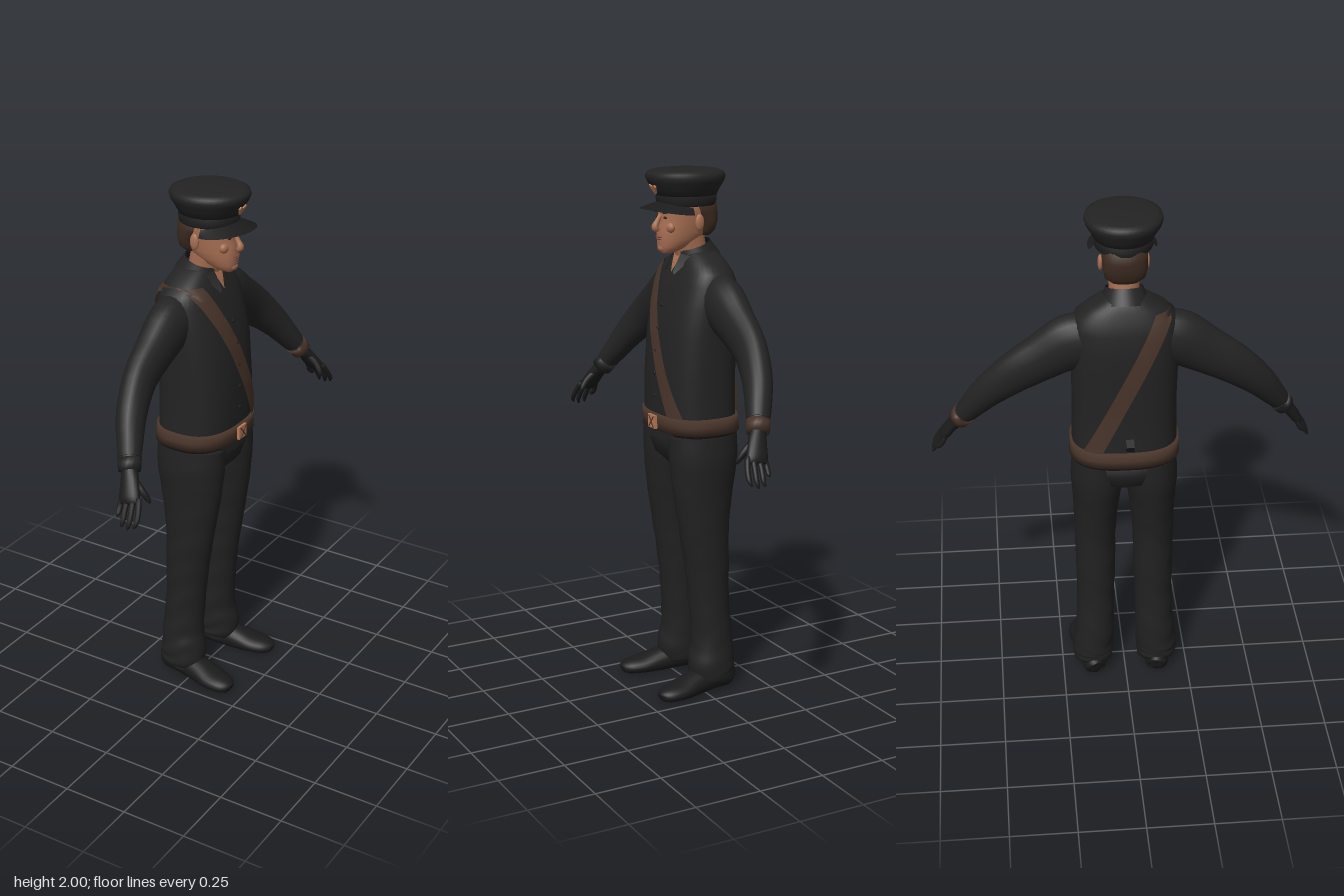
import * as THREE from 'three';

const V = (x, y, z) => new THREE.Vector3(x, y, z);
const mat = (name, color, side = THREE.FrontSide) => {
  const m = new THREE.MeshStandardMaterial({ color, side });
  m.name = name;
  return m;
};

// Skin a list of equal-length rings into a closed, smooth solid
function loft(rings) {
  const n = rings[0].length, pos = [], idx = [];
  rings.forEach(r => r.forEach(p => pos.push(p.x, p.y, p.z)));
  for (let i = 0; i < rings.length - 1; i++) for (let j = 0; j < n; j++) {
    const a = i * n + j, b = i * n + (j + 1) % n;
    idx.push(a, a + n, b, b, a + n, b + n);
  }
  [0, rings.length - 1].forEach((k, end) => {
    const c = rings[k].reduce((s, p) => s.add(p), V(0, 0, 0)).divideScalar(n), ci = pos.length / 3;
    pos.push(c.x, c.y, c.z);
    for (let j = 0; j < n; j++) {
      const a = k * n + j, b = k * n + (j + 1) % n;
      end ? idx.push(a, ci, b) : idx.push(a, b, ci);
    }
  });
  return finish(pos, idx);
}
function finish(pos, idx) {
  const g = new THREE.BufferGeometry();
  g.setAttribute('position', new THREE.Float32BufferAttribute(pos, 3));
  g.setIndex(idx);
  g.computeVertexNormals();
  return g;
}
// Open sheet from a function of u, v
function sheet(nu, nv, f) {
  const pos = [], idx = [];
  for (let i = 0; i <= nv; i++) for (let j = 0; j <= nu; j++) pos.push(...f(j / nu, i / nv));
  for (let i = 0; i < nv; i++) for (let j = 0; j < nu; j++) {
    const a = i * (nu + 1) + j, b = a + nu + 1;
    idx.push(a, a + 1, b, b, a + 1, b + 1);
  }
  return finish(pos, idx);
}
// Horizontal superellipse ring: row = [y, half width, back z, front z]
function ring([y, rx, zb, zf], n = 2, seg = 40) {
  const f = c => Math.sign(c) * Math.abs(c) ** (2 / n);
  return Array.from({ length: seg }, (_, j) => {
    const t = j / seg * Math.PI * 2;
    return V(rx * f(Math.cos(t)), y, (zb + zf) / 2 + (zf - zb) / 2 * f(Math.sin(t)));
  });
}
const stack = (rows, n, seg) => loft(rows.map(r => ring(r, n, seg)));

// Tube along keys [x, y, z, r1, r2]; ref is the axis that r2 leans to
function limb(keys, { steps = 24, seg = 20, ref = V(0, 0, 1), wrinkle = 0, floor = -1 } = {}) {
  const path = new THREE.CatmullRomCurve3(keys.map(k => V(k[0], k[1], k[2])), false, 'catmullrom');
  const size = new THREE.CatmullRomCurve3(keys.map(k => V(k[3], k[4], 0)), false, 'catmullrom');
  return loft(Array.from({ length: steps + 1 }, (_, i) => {
    const t = i / steps, c = path.getPoint(t), s = size.getPoint(t), T = path.getTangent(t);
    const s1 = T.clone().cross(ref).normalize(), s2 = s1.clone().cross(T);
    return Array.from({ length: seg }, (_, j) => {
      const a = j / seg * Math.PI * 2;
      const w = 1 + wrinkle * t * Math.sin(t * 62 + 2 * Math.sin(a * 2)) * (0.6 + 0.4 * Math.cos(a));
      const p = c.clone().addScaledVector(s1, Math.cos(a) * s.x * w).addScaledVector(s2, Math.sin(a) * s.y * w);
      p.y = Math.max(p.y, floor);
      return p;
    });
  }));
}

const TORSO = [[1.02, .2, -.178, .12], [1.1, .197, -.17, .123], [1.25, .194, -.17, .122], [1.4, .197, -.176, .11],
  [1.5, .198, -.178, .09], [1.58, .196, -.17, .063], [1.625, .182, -.155, .045], [1.66, .14, -.14, .03],
  [1.69, .09, -.125, .015], [1.705, .06, -.1, 0]];
const POW = 2.6;
function torsoRow(y, off = 0) {
  let i = 0;
  while (i < TORSO.length - 2 && TORSO[i + 1][0] < y) i++;
  const a = TORSO[i], b = TORSO[i + 1], t = (y - a[0]) / (b[0] - a[0]);
  const [, rx, zb, zf] = a.map((v, k) => THREE.MathUtils.lerp(v, b[k], t));
  return [y, rx + off, zb - off, zf + off];
}
// Thin patch lying on the torso, between xL(y) and xR(y)
function patch(y0, y1, xL, xR, side, off = .006) {
  return sheet(8, 24, (u, v) => {
    const y = y0 + (y1 - y0) * v, [, rx, zb, zf] = torsoRow(y, off);
    const x = THREE.MathUtils.clamp(THREE.MathUtils.lerp(xL(y), xR(y), u), -rx, rx);
    const k = Math.max(0, 1 - Math.abs(x / rx) ** POW) ** (1 / POW);
    return [x, y, (zb + zf) / 2 + side * (zf - zb) / 2 * k];
  });
}

export function createModel() {
  const root = new THREE.Group(), man = new THREE.Group();
  root.name = 'uniformedMan';
  man.name = 'figure';
  man.rotation.y = Math.PI / 2; // built facing +z, turned to face +x
  root.add(man);
  const D = THREE.DoubleSide;
  const cloth = mat('uniform cloth', 0x232323, D), trouser = mat('trouser cloth', 0x212122);
  const black = mat('black leather', 0x1b1b1c, D), brown = mat('brown leather', 0x49352a, D);
  const skin = mat('skin', 0xa66e52, D), hair = mat('hair', 0x3b2a20), copper = mat('copper', 0xb87a58);
  const lip = mat('lips', 0x84503f), eye = mat('eyes', 0x2a211d);
  const add = (name, geo, m, x = 0, y = 0, z = 0) => {
    const o = new THREE.Mesh(geo, m);
    o.name = name;
    o.position.set(x, y, z);
    man.add(o);
    return o;
  };
  const ball = (name, m, x, y, z, sx, sy, sz) => add(name, new THREE.SphereGeometry(1, 16, 12), m, x, y, z).scale.set(sx, sy, sz);

  // Vest, pelvis and hem points
  add('vest', stack(TORSO, POW), cloth);
  add('pelvis', stack([[.89, .05, -.1, .06], [.93, .15, -.155, .1], [.98, .19, -.165, .113], [1.04, .196, -.168, .117]], 2.4), trouser);
  for (const s of [-1, 1]) add('hemPoint', sheet(4, 4, (u, v) =>
    [s * (.005 + .13 * u), 1.03 - .04 * v * (1 - Math.abs(u - .2) * 1.2), .125 - .012 * u]), cloth);
  add('frontPlacket', patch(1.1, 1.62, () => -.012, () => .012, 1, .003), cloth);
  for (let i = 0; i < 5; i++) {
    const y = 1.16 + i * .085;
    ball('button', black, 0, y, torsoRow(y)[3] + .004, .007, .007, .004);
  }

  // Belt, buckle, shoulder strap
  add('belt', stack([1.03, 1.06, 1.092].map(y => torsoRow(y, .008)), POW), brown);
  add('buckle', new THREE.BoxGeometry(.052, .05, .014), copper, 0, 1.06, .133);
  for (const s of [-1, 1]) {
    add('buckleBar', new THREE.BoxGeometry(.004, .056, .004), brown, 0, 1.06, .1405).rotation.z = s * .7;
    const mid = y => -.125 + (1.62 - y) * .475;
    add(s > 0 ? 'strapFront' : 'strapBack', patch(1.06, 1.65, y => mid(y) - .035, y => mid(y) + .035, s, .007), brown);
  }
  add('backClip', new THREE.BoxGeometry(.03, .03, .035), black, -.01, 1.13, -.18).rotation.x = -.5;

  // Neck, open collar
  add('neck', limb([[0, 1.62, -.045, .055, .06], [0, 1.69, -.03, .055, .06], [0, 1.77, -.01, .057, .065]], { steps: 8 }), skin);
  add('openThroat', patch(1.62, 1.69, y => -(y - 1.618) * .45, y => (y - 1.618) * .45, 1, .008), skin);
  const collar = add('collar', new THREE.CylinderGeometry(.068, .092, .06, 32, 1, true, .35, Math.PI * 2 - .7), cloth, 0, 1.69, -.043);
  collar.rotation.x = .3;
  for (const s of [-1, 1]) add('collarFlap', sheet(3, 4, (u, v) => {
    const w = .05 * u * (1 - v * .85);
    return [s * (.03 + w - .012 * v + .012 * v * v), 1.69 - .065 * v - .01 * u, .03 + .033 * v - .03 * u * (1 - v)];
  }), cloth);

  // Head and face
  add('head', stack([[1.692, .018, .055, .09], [1.7, .034, .03, .1], [1.72, .05, -.02, .106], [1.745, .061, -.065, .107],
    [1.77, .067, -.09, .108], [1.8, .071, -.103, .104], [1.825, .074, -.11, .099], [1.85, .076, -.114, .102],
    [1.9, .075, -.112, .098]], 2.2), skin);
  add('hair', stack([[1.755, .05, -.096, -.04], [1.775, .072, -.112, -.035], [1.81, .08, -.121, -.03],
    [1.84, .081, -.123, .0], [1.89, .083, -.12, .035]], 2.3), hair);
  add('nose', limb([[0, 1.835, .097, .008, .008], [0, 1.81, .112, .009, .01], [0, 1.79, .122, .014, .013], [0, 1.777, .112, .012, .01]],
    { steps: 10, seg: 12 }), skin);
  ball('upperLip', lip, 0, 1.754, .106, .024, .004, .005);
  ball('lowerLip', lip, 0, 1.747, .106, .02, .004, .005);
  ball('chin', skin, 0, 1.713, .09, .024, .018, .018);
  for (const s of [-1, 1]) {
    ball('eye', eye, s * .03, 1.826, .095, .012, .004, .004);
    ball('eyebrow', hair, s * .032, 1.844, .098, .019, .004, .005);
    ball('cheekbone', skin, s * .04, 1.79, .078, .022, .02, .016);
    ball('ear', skin, s * .084, 1.808, -.02, .01, .031, .018);
  }

  // Peaked cap
  add('capBand', stack([[1.868, .1, -.118, .099], [1.872, .104, -.122, .103], [1.912, .107, -.125, .107]]), black);
  add('capCrown', stack([[1.905, .107, -.124, .108], [1.93, .12, -.136, .122], [1.955, .136, -.151, .138], [1.972, .141, -.156, .145],
    [1.986, .137, -.151, .141], [1.995, .12, -.132, .122], [2, .08, -.09, .08]]), cloth);
  add('capPeak', sheet(24, 6, (u, v) => {
    const a = (u - .5) * 2.7, r = .1 + .078 * v * Math.cos(a) ** 0.8;
    return [Math.sin(a) * r, 1.885 - .026 * v - .02 * Math.sin(a) ** 2, -.008 + Math.cos(a) * r];
  }), black);
  const badge = new THREE.Shape();
  badge.moveTo(0, -.022);
  badge.lineTo(.022, .008);
  badge.lineTo(.018, .018);
  badge.lineTo(0, .01);
  badge.lineTo(-.018, .018);
  badge.lineTo(-.022, .008);
  add('capBadge', new THREE.ExtrudeGeometry(badge, { depth: .008, bevelEnabled: false }), copper, 0, 1.932, .121).rotation.x = .45;

  for (const s of [-1, 1]) {
    const m = keys => keys.map(([x, ...r]) => [s * x, ...r]);
    // Sleeve, cuff and gloved hand
    add('sleeve', limb(m([[.13, 1.53, -.06, .1, .08], [.2, 1.512, -.06, .107, .076], [.29, 1.46, -.057, .093, .066], [.4, 1.39, -.05, .08, .056],
      [.5, 1.3, -.022, .063, .053], [.57, 1.21, .015, .047, .046], [.615, 1.148, .042, .035, .037]]), { wrinkle: .012 }), cloth);
    add('cuff', limb(m([[.592, 1.18, .028, .044, .044], [.618, 1.143, .045, .04, .041]]), { steps: 3 }), s > 0 ? brown : cloth);
    add('palm', limb(m([[.61, 1.155, .04, .026, .028], [.64, 1.115, .06, .023, .035], [.67, 1.07, .078, .02, .04], [.682, 1.05, .083, .012, .034]]),
      { steps: 12 }), black);
    for (let i = 0; i < 4; i++) {
      const z = .052 + i * .021, k = [-.03, 0, .004, -.006][i];
      add('finger', limb(m([[.668, 1.075, z, .011, .011], [.695 + k * .3, 1.035, z + .006 * i - .004, .01, .01],
        [.715 + k * .4, 1.0 - k * .6, z + .006 * i, .009, .009], [.724 + k * .4, .98 - k, z + .004 * i, .004, .004]]), { steps: 10, seg: 10 }), black);
    }
    add('thumb', limb(m([[.63, 1.125, .065, .014, .014], [.635, 1.09, .105, .013, .013], [.63, 1.06, .128, .01, .01], [.628, 1.045, .134, .004, .004]]),
      { steps: 10, seg: 10, ref: V(1, 0, 0) }), black);

    // Trouser leg
    add('trouserLeg', limb(m([[.1, 1.02, -.025, .096, .138], [.103, .92, -.026, .101, .137], [.108, .8, -.022, .089, .122],
      [.113, .65, -.025, .08, .1], [.113, .5, -.037, .077, .088], [.115, .35, -.045, .074, .08], [.12, .2, -.055, .077, .083],
      [.128, .1, -.05, .081, .093], [.128, .05, -.06, .077, .084]]), { steps: 70, seg: 28, wrinkle: .03 }), trouser);

    // Shoe with flat sole
    add('shoe', limb(m([[.122, .035, -.137, .02, .03], [.125, .04, -.12, .045, .045], [.13, .045, -.05, .05, .055], [.142, .035, .03, .055, .048],
      [.155, .025, .1, .06, .036], [.164, .02, .155, .05, .03], [.168, .018, .185, .03, .02], [.169, .016, .193, .006, .008]]),
      { steps: 30, seg: 24, ref: V(0, 1, 0), floor: 0 }), black);
  }
  return root;
}
